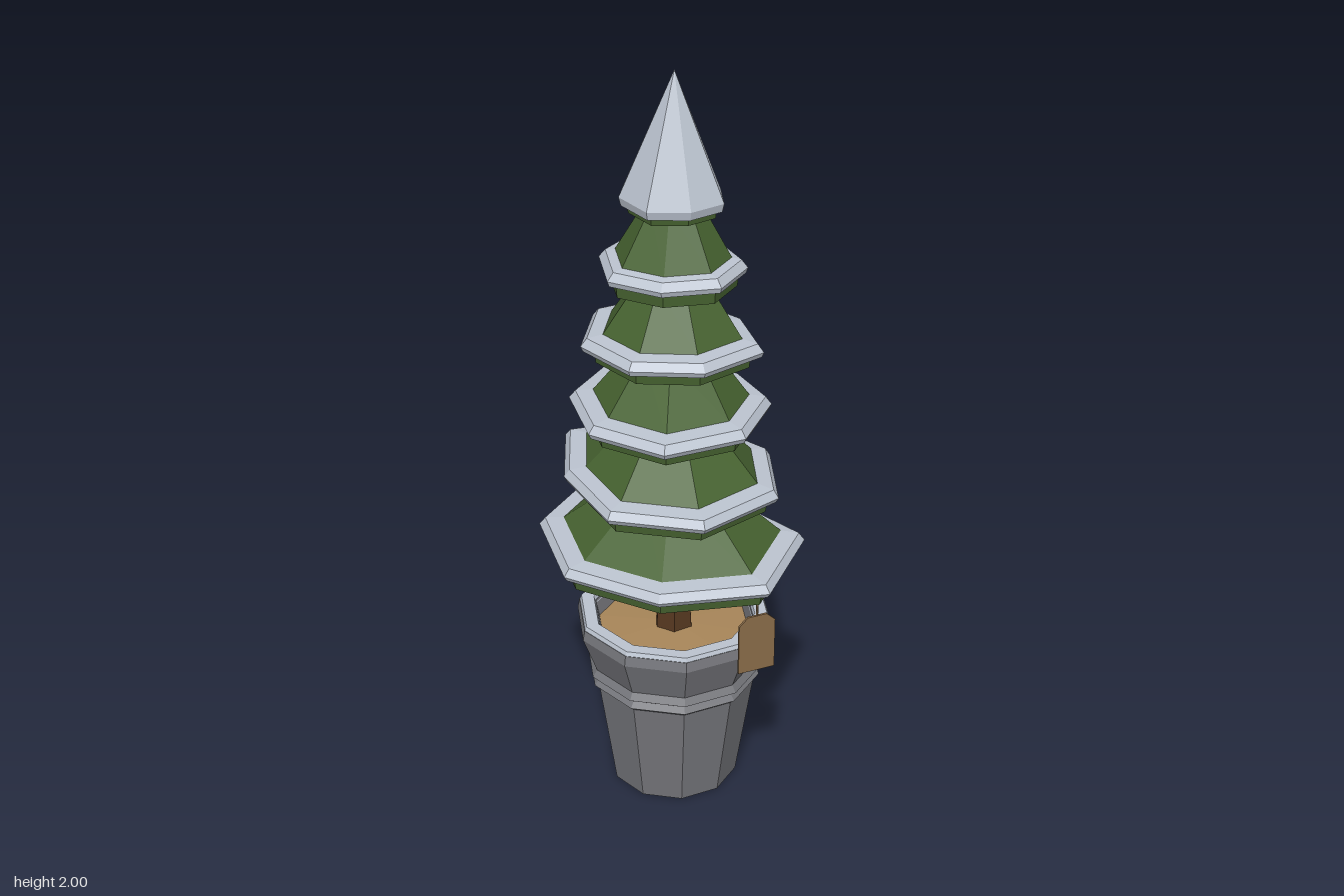
import * as THREE from 'three';

const mat = (name, color) => new THREE.MeshStandardMaterial({ name, color, flatShading: true });
const AXIS = [-0.01, -0.04];

// Faceted skin through scaled copies of one outline; sections are [scale, y]
function loft(outline, sections) {
  const rows = sections.map(([s, y]) => outline.map(([x, z]) =>
    [AXIS[0] + (x - AXIS[0]) * s, y, AXIS[1] + (z - AXIS[1]) * s]));
  const pos = [];
  const n = outline.length;
  for (let r = 0; r < rows.length - 1; r++) {
    for (let i = 0; i < n; i++) {
      const j = (i + 1) % n;
      const a = rows[r][i], b = rows[r][j], c = rows[r + 1][j], d = rows[r + 1][i];
      if (sections[r + 1][0] > 0) pos.push(...a, ...d, ...c);
      if (sections[r][0] > 0) pos.push(...a, ...c, ...b);
      else continue;
    }
  }
  const g = new THREE.BufferGeometry();
  g.setAttribute('position', new THREE.Float32BufferAttribute(pos, 3));
  g.computeVertexNormals();
  return g;
}

// Regular unit outline around the tree axis, turned by a given angle
function ngon(n, turn = 0) {
  return Array.from({ length: n }, (_, i) => {
    const a = turn + (i / n) * Math.PI * 2;
    return [AXIS[0] + Math.cos(a), AXIS[1] + Math.sin(a)];
  });
}

// Hand-cut tier outlines (x, z), base height, and scales of skirt and cone top
const TIERS = [
  { y: 0.69, top: 0.91, skirt: 0.9, neck: 0.29,
    rim: [[-.345, -.178], [-.107, -.285], [.305, -.17], [.344, .106], [.124, .28], [-.146, .287], [-.34, .093]] },
  { y: 0.885, top: 1.1, skirt: 0.88, neck: 0.34,
    rim: [[-.344, -.054], [-.174, -.224], [0, -.254], [.176, -.217], [.296, -.028], [.209, .2], [-.024, .274], [-.23, .14]] },
  { y: 1.08, top: 1.29, skirt: 0.85, neck: 0.36,
    rim: [[-.254, -.13], [-.09, -.224], [.085, -.224], [.215, -.14], [.243, .055], [.11, .226], [-.105, .222], [-.25, .075]] },
  { y: 1.268, top: 1.48, skirt: 0.84, neck: 0.36,
    rim: [[-.24, -.033], [-.16, -.15], [-.013, -.194], [.124, -.163], [.235, -.05], [.163, .12], [-.002, .2], [-.174, .139]] },
  { y: 1.46, top: 1.67, skirt: 0.86, neck: 0.36,
    rim: [[-.176, -.119], [-.054, -.172], [.085, -.152], [.163, -.098], [.163, .04], [.05, .133], [-.094, .139], [-.189, .019]] },
];
const TIP = [[-.148, -.04], [-.09, -.12], [-.01, -.133], [.074, -.12], [.126, -.04], [.083, .046], [-.01, .096], [-.115, .046]];

export function createModel() {
  const group = new THREE.Group();
  const snow = mat('snow', 0xbcc4d0);
  const leaf = mat('needle green', 0x466230);
  const stone = mat('pot grey', 0x77787d);
  const bark = mat('bark brown', 0x563820);
  const earth = mat('soil tan', 0xa88659);
  const card = mat('tag tan', 0x8a6c49);

  const add = (name, geometry, material, parent = group) => {
    const m = new THREE.Mesh(geometry, material);
    m.name = name;
    parent.add(m);
    return m;
  };

  // Pot with two raised bands, snow on the rim, and soil
  const round = ngon(10, Math.PI / 10);
  add('pot', loft(round, [[0, 0], [.172, 0], [.218, .31], [.232, .322], [.22, .338], [.237, .35],
    [.225, .37], [.263, .475], [.258, .503], [.213, .503], [.2, .44]]), stone);
  add('potRimSnow', loft(round, [[.258, .5], [.252, .514], [.218, .514], [.211, .495]]), snow);
  add('soil', loft(round, [[.21, .455], [0, .465]]), earth);

  // Trunk with a slightly flared foot
  add('trunk', loft(ngon(6, 0), [[.054, .45], [.049, .53], [.046, .75]]), bark);

  // Branch tiers, each with a snow ledge
  TIERS.forEach((t, i) => {
    const tier = new THREE.Group();
    tier.name = 'tier' + (i + 1);
    group.add(tier);
    add('branches', loft(t.rim, [[0, t.y + .012], [t.skirt, t.y], [t.skirt + .02, t.y + .045],
      [t.skirt - .06, t.y + .068], [t.neck, t.top]]), leaf, tier);
    const bevel = 1 - .016 / Math.hypot(t.rim[0][0] - AXIS[0], t.rim[0][1] - AXIS[1]);
    add('snowLedge', loft(t.rim, [[t.skirt - .08, t.y + .036], [.975, t.y + .036], [1, t.y + .05],
      [bevel, t.y + .07], [t.skirt - .1, t.y + .075]]), snow, tier);
  });

  // Tree top with its snow cone
  add('topBranches', loft(TIP, [[0, 1.655], [.83, 1.648], [.86, 1.68]]), leaf);
  add('snowTip', loft(TIP, [[.8, 1.668], [.96, 1.668], [1, 1.69], [0, 2]]), snow);

  // Hanging tag with clipped top corners
  const tag = new THREE.Group();
  tag.name = 'tag';
  tag.position.set(.301, 0, .09);
  tag.rotation.y = Math.atan2(.08, .063);
  const shape = new THREE.Shape([[-.05, .49], [.05, .49], [.05, .632], [.026, .655], [-.026, .655], [-.05, .632]]
    .map(p => new THREE.Vector2(...p)));
  add('tagCard', new THREE.ExtrudeGeometry(shape, { depth: .006, bevelEnabled: false }).translate(0, 0, -.003), card, tag);
  add('tagString', new THREE.CylinderGeometry(.003, .003, .1, 5).translate(0, .695, 0), card, tag);
  group.add(tag);

  return group;
}
